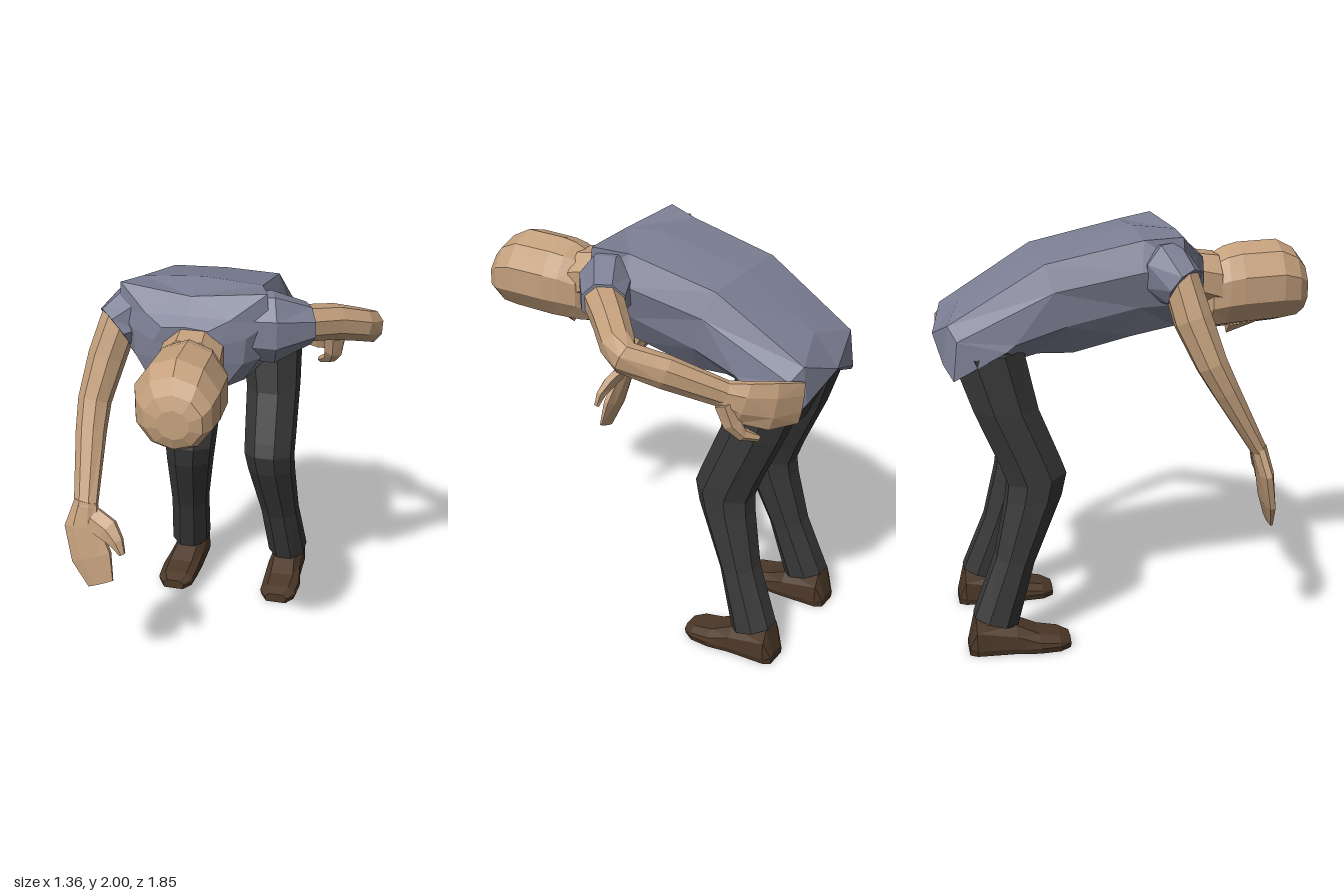
import * as THREE from 'three';

const V = (x, y, z) => new THREE.Vector3(x, y, z);
const MID = -0.14; // mirror plane of trunk and legs
const mat = (color) => new THREE.MeshStandardMaterial({ color, flatShading: true });

// Skin a list of equal-length rings, cap both ends and face the surface outwards
function loft(name, rings, material) {
  const n = rings[0].length, pos = [], idx = [];
  rings.forEach((r) => r.forEach((p) => pos.push(p.x, p.y, p.z)));
  const at = (i) => V(pos[3 * i], pos[3 * i + 1], pos[3 * i + 2]);
  for (let i = 0; i < rings.length - 1; i++) {
    for (let j = 0; j < n; j++) {
      const a = i * n + j, b = i * n + (j + 1) % n, c = b + n, d = a + n;
      // split each quad along its shorter diagonal
      if (at(a).distanceTo(at(c)) < at(b).distanceTo(at(d))) idx.push(a, b, c, a, c, d);
      else idx.push(a, b, d, b, c, d);
    }
  }
  [0, rings.length - 1].forEach((i) => {
    const c = rings[i].reduce((s, p) => s.add(p), V(0, 0, 0)).divideScalar(n);
    const k = pos.length / 3;
    pos.push(c.x, c.y, c.z);
    for (let j = 0; j < n; j++) {
      const a = i * n + j, b = i * n + (j + 1) % n;
      idx.push(...(i === 0 ? [b, a, k] : [a, b, k]));
    }
  });
  let volume = 0;
  for (let i = 0; i < idx.length; i += 3) volume += at(idx[i]).dot(at(idx[i + 1]).cross(at(idx[i + 2])));
  if (volume < 0) idx.reverse();
  const g = new THREE.BufferGeometry();
  g.setAttribute('position', new THREE.Float32BufferAttribute(pos, 3));
  g.setIndex(idx);
  g.computeVertexNormals();
  const mesh = new THREE.Mesh(g, material);
  mesh.name = name;
  return mesh;
}

// Polygon ring spanned by two half axes, with flats on the axes
function ring(c, a, b, n = 8) {
  const k = 1 / Math.cos(Math.PI / n);
  return Array.from({ length: n }, (_, i) => {
    const t = ((i + 0.5) / n) * Math.PI * 2;
    return c.clone().addScaledVector(a, Math.cos(t) * k).addScaledVector(b, Math.sin(t) * k);
  });
}

// Limb through points [x, y, z, half width along ref, half thickness]
function limb(name, pts, ref, material, n = 8) {
  const c = pts.map((p) => V(p[0], p[1], p[2]));
  return loft(name, pts.map((p, i) => {
    const t = V(0, 0, 0);
    if (i > 0) t.add(c[i].clone().sub(c[i - 1]).normalize());
    if (i < c.length - 1) t.add(c[i + 1].clone().sub(c[i]).normalize());
    t.normalize();
    const u = ref.clone().addScaledVector(t, -ref.dot(t)).normalize();
    const v = t.clone().cross(u);
    return ring(c[i], u.multiplyScalar(p[3]), v.multiplyScalar(p[4]), n);
  }), material);
}

export function createModel() {
  const model = new THREE.Group();
  model.name = 'bendingFigure';
  const shirt = mat(0x7d8095), trousers = mat(0x393939), skin = mat(0xc4a07d), leather = mat(0x4c3828);
  const X = V(1, 0, 0), Y = V(0, 1, 0), Z = V(0, 0, 1);

  // Half of a trunk section, mirrored to a full ring
  const trunkRing = (half) => {
    const pts = half.map(([x, y, z]) => V(MID + x, y, z));
    const other = half.slice(1, -1).reverse().map(([x, y, z]) => V(MID - x, y, z));
    return pts.concat(other);
  };
  // Shirt: flared hem, then sections up the bent back to the collar
  // Half section: back centre, back corner, upper side, lower side, belly corner, belly centre
  const trunk = [
    [[0, 1.52, -0.93], [0.24, 1.43, -0.9], [0.32, 1.37, -0.86], [0.345, 1.5, -0.62], [0.2, 1.43, -0.54], [0, 1.35, -0.55]],
    [[0, 1.67, -0.8], [0.24, 1.61, -0.875], [0.31, 1.55, -0.84], [0.34, 1.53, -0.58], [0.2, 1.45, -0.46], [0, 1.4, -0.47]],
    [[0, 1.89, -0.43], [0.27, 1.88, -0.43], [0.33, 1.76, -0.4], [0.32, 1.6, -0.34], [0.22, 1.45, -0.3], [0, 1.45, -0.3]],
    [[0, 1.995, 0.02], [0.29, 1.975, 0.02], [0.36, 1.84, 0], [0.315, 1.67, -0.01], [0.24, 1.52, -0.03], [0, 1.51, -0.03]],
    [[0, 1.97, 0.235], [0.35, 1.995, 0.19], [0.36, 1.86, 0.2], [0.32, 1.68, 0.19], [0.24, 1.56, 0.18], [0, 1.55, 0.18]],
    [[0, 1.9, 0.3], [0.2, 1.89, 0.29], [0.27, 1.8, 0.27], [0.26, 1.68, 0.28], [0.18, 1.57, 0.31], [0, 1.56, 0.32]],
    [[0, 1.86, 0.345], [0.11, 1.85, 0.345], [0.15, 1.78, 0.34], [0.15, 1.7, 0.34], [0.1, 1.62, 0.335], [0, 1.61, 0.335]],
  ];
  model.add(loft('shirtBody', trunk.map(trunkRing), shirt));

  // Short sleeves
  model.add(limb('leftSleeve', [
    [0.1, 1.81, 0.13, 0.15, 0.11], [0.22, 1.81, 0.11, 0.16, 0.125], [0.37, 1.81, 0.02, 0.09, 0.1],
  ], Y, shirt));
  model.add(limb('rightSleeve', [
    [-0.34, 1.81, 0.12, 0.1, 0.13], [-0.45, 1.83, 0.13, 0.115, 0.14], [-0.525, 1.77, 0.19, 0.095, 0.105],
  ], Z, shirt));

  // Left arm, bent with the hand on the hip
  model.add(limb('leftArm', [
    [0.33, 1.815, 0.05, 0.08, 0.09], [0.47, 1.785, -0.09, 0.08, 0.08], [0.58, 1.74, -0.2, 0.075, 0.075],
    [0.62, 1.71, -0.265, 0.075, 0.06], [0.54, 1.65, -0.42, 0.075, 0.055], [0.38, 1.53, -0.65, 0.06, 0.04],
  ], Y, skin));
  model.add(limb('leftHand', [
    [0.4, 1.54, -0.62, 0.06, 0.04], [0.35, 1.5, -0.71, 0.1, 0.04],
    [0.26, 1.47, -0.81, 0.115, 0.03], [0.13, 1.45, -0.885, 0.1, 0.015],
  ], Y, skin));
  model.add(limb('leftThumb', [
    [0.385, 1.5, -0.64, 0.055, 0.045], [0.375, 1.4, -0.67, 0.045, 0.04],
    [0.35, 1.34, -0.71, 0.03, 0.025], [0.29, 1.305, -0.76, 0.015, 0.015],
  ], X, skin, 6));

  // Right arm, hanging
  model.add(limb('rightArm', [
    [-0.5, 1.82, 0.17, 0.085, 0.08], [-0.56, 1.63, 0.22, 0.085, 0.085], [-0.605, 1.43, 0.3, 0.075, 0.07],
    [-0.605, 1.3, 0.37, 0.07, 0.06], [-0.585, 0.98, 0.55, 0.055, 0.035],
  ], X, skin));
  model.add(limb('rightHand', [
    [-0.585, 1.01, 0.54, 0.055, 0.035], [-0.6, 0.89, 0.57, 0.085, 0.035],
    [-0.55, 0.74, 0.6, 0.1, 0.03], [-0.5, 0.61, 0.625, 0.065, 0.012],
  ], X, skin));
  model.add(limb('rightThumb', [
    [-0.55, 0.93, 0.56, 0.055, 0.03], [-0.47, 0.89, 0.58, 0.055, 0.03],
    [-0.42, 0.84, 0.6, 0.035, 0.022], [-0.39, 0.78, 0.61, 0.014, 0.014],
  ], X, skin, 6));

  // Neck and head, built along z: [z, centre x, half width, bottom y, top y]
  const alongZ = (rows, n) => rows.map(([z, x, w, y0, y1]) =>
    ring(V(x, (y0 + y1) / 2, z), V(w, 0, 0), V(0, (y1 - y0) / 2, 0), n));
  model.add(loft('neck', alongZ([
    [0.25, -0.1, 0.13, 1.62, 1.84], [0.35, -0.1, 0.14, 1.61, 1.85], [0.45, -0.09, 0.145, 1.57, 1.835],
  ], 8), skin));
  model.add(loft('head', alongZ([
    [0.375, -0.085, 0.08, 1.475, 1.68], [0.41, -0.085, 0.14, 1.47, 1.815], [0.49, -0.075, 0.17, 1.475, 1.855],
    [0.56, -0.065, 0.185, 1.48, 1.87], [0.76, -0.055, 0.192, 1.49, 1.875], [0.85, -0.045, 0.17, 1.5, 1.83],
    [0.9, -0.035, 0.13, 1.53, 1.77], [0.92, -0.03, 0.07, 1.58, 1.71],
  ], 10), skin));
  const nose = new THREE.Mesh(new THREE.ConeGeometry(0.05, 0.15, 4), skin);
  nose.name = 'nose';
  nose.position.set(-0.08, 1.48, 0.59);
  nose.rotation.x = Math.PI / 2;
  model.add(nose);

  // Seat of the trousers, sloping back to the crotch
  model.add(loft('trouserSeat', [
    [1.52, 0.3, -0.5, -0.84], [1.42, 0.27, -0.53, -0.84], [1.22, 0.085, -0.68, -0.77],
  ].map(([y, w, zf, zb]) => ring(V(MID, y, (zf + zb) / 2), V(w, 0, 0), V(0, 0, (zf - zb) / 2))), trousers));

  for (const [side, s] of [['left', 1], ['right', -1]]) {
    // Trouser leg: [inner x, outer x, front y, front z, back y, back z]
    const leg = [
      [0.02, 0.33, 1.48, -0.53, 1.46, -0.86], [0.075, 0.34, 1.2, -0.47, 1.2, -0.77],
      [0.09, 0.345, 0.95, -0.37, 0.93, -0.655], [0.095, 0.345, 0.88, -0.345, 0.83, -0.62],
      [0.11, 0.345, 0.77, -0.37, 0.75, -0.63], [0.16, 0.355, 0.44, -0.51, 0.48, -0.69],
      [0.185, 0.385, 0.13, -0.6, 0.19, -0.805],
    ];
    model.add(loft(side + 'TrouserLeg', leg.map(([x0, x1, yf, zf, yb, zb]) => ring(
      V(MID + s * (x0 + x1) / 2, (yf + yb) / 2, (zf + zb) / 2),
      V((x1 - x0) / 2, 0, 0), V(0, (yf - yb) / 2, (zf - zb) / 2))), trousers));

    // Shoe: heel to toe [z, centre x, half width, height], wide flat sole
    const shoe = [
      [-0.835, 0.285, 0.06, 0.05], [-0.8, 0.285, 0.085, 0.19], [-0.61, 0.285, 0.095, 0.14],
      [-0.5, 0.295, 0.105, 0.09], [-0.4, 0.295, 0.1, 0.07], [-0.345, 0.295, 0.06, 0.05],
    ];
    model.add(loft(side + 'Shoe', shoe.map(([z, x, w, h]) => [
      [-0.9, 0], [0.9, 0], [1, 0.03], [0.95, h * 0.65], [0.6, h], [-0.6, h], [-0.95, h * 0.65], [-1, 0.03],
    ].map(([u, y]) => V(MID + s * (x + u * w), y, z))), leather));
  }
  return model;
}
